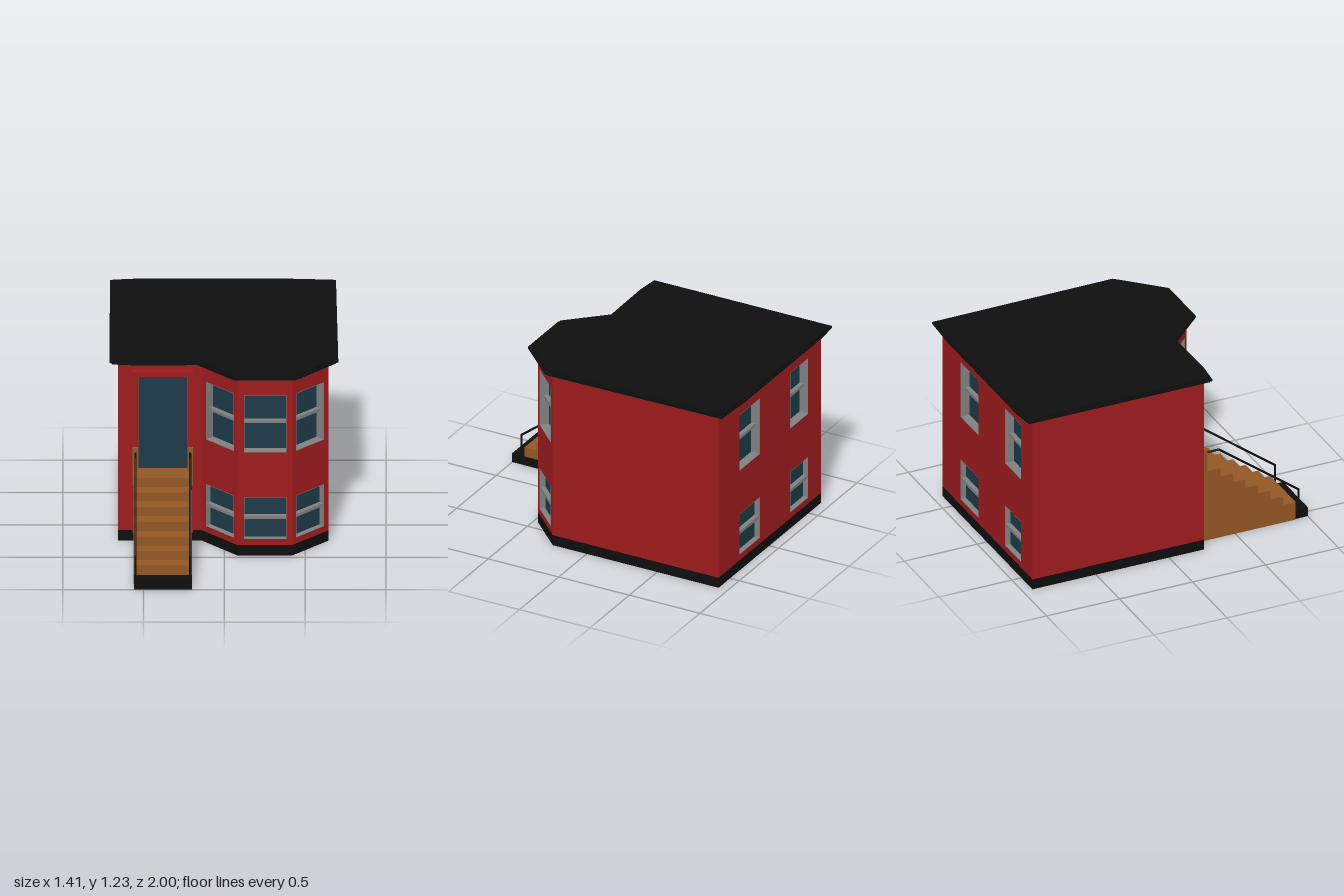
import * as THREE from 'three';

const mat = (color) => new THREE.MeshStandardMaterial({ color, side: THREE.DoubleSide });
const RED = mat(0x9e1b1e), BLACK = mat(0x0e0e0e), WOOD = mat(0x935725);
const GLASS = mat(0x1d3a47), GREY = mat(0x808080);
const BASE_TOP = 0.07, WALL_TOP = 1.2;

// Ground plan as [x, z], running left to right as seen from outside
const PLAN = [[-0.66, 0.24], [-0.14, 0.24], [0.08, 0.47], [0.42, 0.47],
  [0.645, 0.24], [0.645, -0.935], [-0.66, -0.935]];
const ROOF = [[-0.71, 0.275], [-0.56, 0.29], [-0.17, 0.285], [0.06, 0.525], [0.45, 0.525],
  [0.705, 0.26], [0.69, -0.985], [0.43, -1], [-0.57, -1], [-0.71, -0.985]];

function add(parent, name, geometry, material) {
  const m = new THREE.Mesh(geometry, material);
  m.name = name;
  parent.add(m);
  return m;
}

// Box given by its limits
function block(parent, name, material, x0, x1, y0, y1, z0, z1) {
  const m = add(parent, name, new THREE.BoxGeometry(x1 - x0, y1 - y0, z1 - z0), material);
  m.position.set((x0 + x1) / 2, (y0 + y1) / 2, (z0 + z1) / 2);
  return m;
}

// Horizontal slab from a plan outline
function slab(parent, name, material, plan, y0, y1) {
  const shape = new THREE.Shape(plan.map(([x, z]) => new THREE.Vector2(x, -z)));
  const g = new THREE.ExtrudeGeometry(shape, { depth: y1 - y0, bevelEnabled: false });
  g.rotateX(-Math.PI / 2);
  g.translate(0, y0, 0);
  return add(parent, name, g, material);
}

function rect(Type, x0, x1, y0, y1) {
  return new Type([[x0, y0], [x1, y0], [x1, y1], [x0, y1]].map(([x, y]) => new THREE.Vector2(x, y)));
}

// Recessed window: grey reveal, glass and a meeting rail; z = 0 is the wall face
function addWindow(parent, x0, x1, y0, y1, depth, barY, barFront) {
  const g = new THREE.Group();
  g.name = 'window';
  parent.add(g);
  const t = 0.003;
  const ring = rect(THREE.Shape, x0, x1, y0, y1);
  ring.holes.push(rect(THREE.Path, x0 + t, x1 - t, y0 + t, y1 - t));
  const reveal = new THREE.ExtrudeGeometry(ring, { depth, bevelEnabled: false });
  reveal.translate(0, 0, -depth);
  add(g, 'windowReveal', reveal, GREY);
  const pane = new THREE.PlaneGeometry(x1 - x0, y1 - y0);
  pane.translate((x0 + x1) / 2, (y0 + y1) / 2, -depth);
  add(g, 'windowPane', pane, GLASS);
  block(g, 'windowRail', GREY, x0, x1, barY - 0.01, barY + 0.01, -depth, barFront);
}

// Wall panel from a to b; each span of windows holds an upper and a lower window
function addWall(parent, a, b, spans) {
  const dx = b[0] - a[0], dz = b[1] - a[1], len = Math.hypot(dx, dz);
  const g = new THREE.Group();
  g.name = 'wall';
  g.position.set(a[0], 0, a[1]);
  g.rotation.y = Math.atan2(-dz, dx);
  parent.add(g);
  const shape = rect(THREE.Shape, 0, len, BASE_TOP, WALL_TOP);
  for (const [x0, x1] of spans) {
    for (const [y0, y1, depth, barY, front] of [[0.695, 1.085, 0.06, 0.89, -0.03], [0.11, 0.395, 0.036, 0.255, -0.005]]) {
      shape.holes.push(rect(THREE.Path, x0, x1, y0, y1));
      addWindow(g, x0, x1, y0, y1, depth, barY, front);
    }
  }
  add(g, 'wallPanel', new THREE.ShapeGeometry(shape), RED);
}

// Straight round bars along a list of points
function addRail(parent, points, r) {
  for (let i = 0; i + 1 < points.length; i++) {
    const path = new THREE.LineCurve3(points[i], points[i + 1]);
    add(parent, 'handrail', new THREE.TubeGeometry(path, 1, r, 8), BLACK);
    add(parent, 'handrailJoint', new THREE.SphereGeometry(r, 8, 6), BLACK).position.copy(points[i + 1]);
  }
}

export function createModel() {
  const model = new THREE.Group();
  model.name = 'house';

  // Plinth, walls and roof
  slab(model, 'plinth', BLACK, PLAN, 0, BASE_TOP);
  const windows = {
    1: [[0.036, 0.289]],
    2: [[0.04, 0.305]],
    3: [[0.035, 0.28]],
    5: [[0.265, 0.525], [0.91, 1.14]],
  };
  PLAN.forEach((a, i) => addWall(model, a, PLAN[(i + 1) % PLAN.length], windows[i] || []));
  const cx = -0.0, cz = -0.24;
  const eaves = ROOF.map(([x, z]) => [cx + (x - cx) * 0.978, cz + (z - cz) * 0.982]);
  slab(model, 'eaves', BLACK, eaves, WALL_TOP, 1.213);
  slab(model, 'roof', BLACK, ROOF, 1.213, 1.223);
  slab(model, 'roofTop', BLACK, eaves, 1.223, 1.232);

  // Doorway: glass door between deep jambs with a lintel
  const door = new THREE.Group();
  door.name = 'doorway';
  model.add(door);
  block(door, 'door', GLASS, -0.535, -0.225, 0.49, 1.125, 0.235, 0.243);
  block(door, 'lintel', RED, -0.57, -0.195, 1.125, 1.155, 0.235, 0.285);
  for (const [x0, x1, lining] of [[-0.57, -0.535, -0.535], [-0.225, -0.195, -0.228]]) {
    block(door, 'doorJamb', RED, x0, x1, BASE_TOP, 1.125, 0.235, 0.28);
    block(door, 'jambLining', WOOD, lining, lining + 0.003, 0.49, 1.125, 0.24, 0.279);
    block(door, 'newelPost', WOOD, x0, x1, 0.4, 0.65, 0.24, 0.305);
  }

  // Steps: stepped side profile drawn as (z, y)
  const steps = 7, run = 0.086, rise = 0.061;
  const profile = [[0.235, 0], [0.913, 0]];
  for (let i = 0; i < steps; i++) {
    const z = 0.913 - i * run, y = 0.064 + (i + 1) * rise;
    profile.push([z, y], [i === steps - 1 ? 0.235 : z - run, y]);
  }
  const shape = new THREE.Shape(profile.map(([z, y]) => new THREE.Vector2(z, y)));
  const stair = new THREE.ExtrudeGeometry(shape, { depth: 0.36, bevelEnabled: false });
  stair.rotateY(-Math.PI / 2);
  stair.translate(-0.203, 0, 0);
  add(model, 'steps', stair, WOOD);
  block(model, 'stepsPlinth', BLACK, -0.56, -0.2, 0.003, 0.062, 0.235, 1);

  // Handrails
  for (const x of [-0.55, -0.212]) {
    addRail(model, [[0.938, 0], [0.938, 0.203], [0.395, 0.617], [0.29, 0.617]]
      .map(([z, y]) => new THREE.Vector3(x, y, z)), 0.007);
  }
  return model;
}
